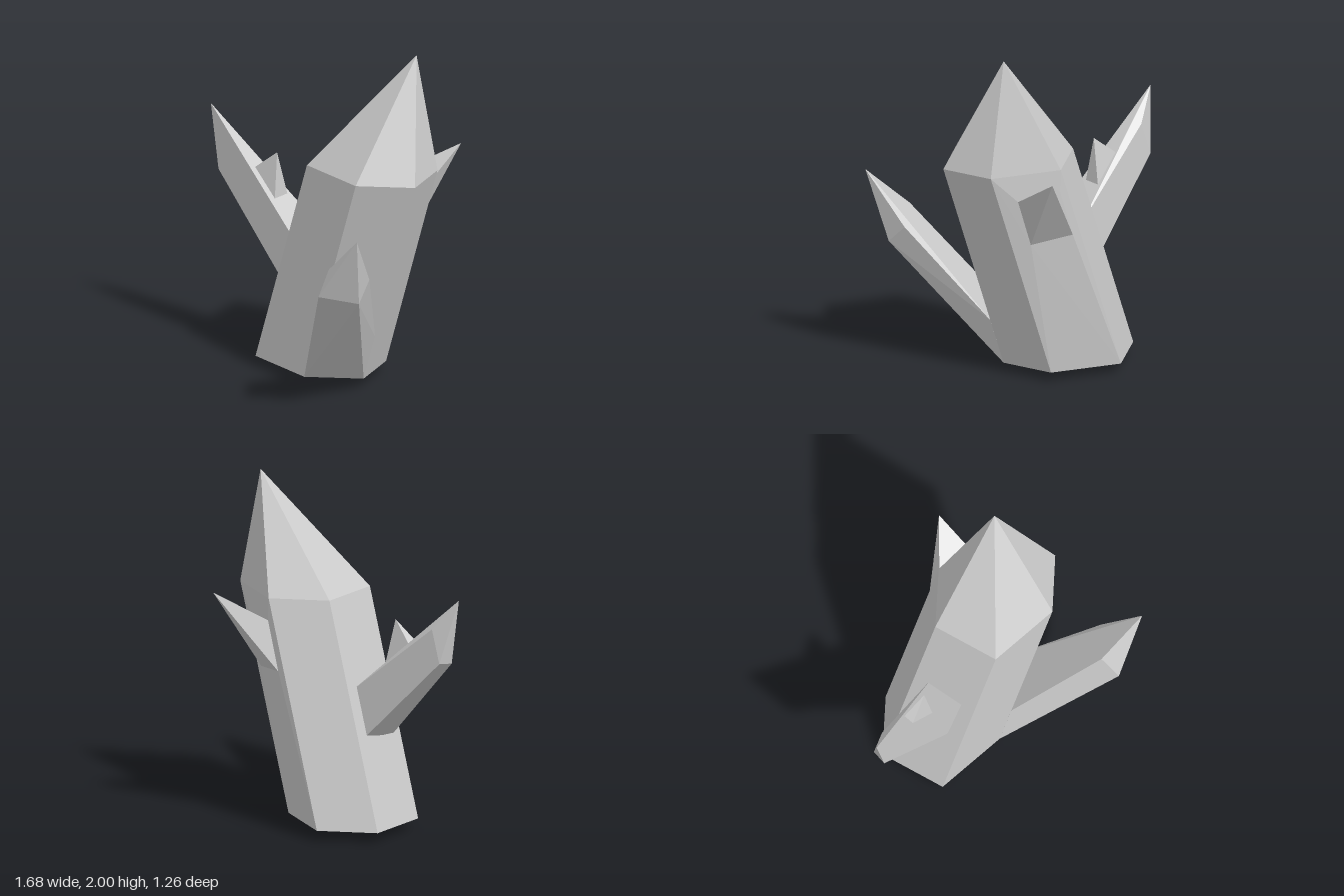
import * as THREE from 'three';
import { ConvexGeometry } from 'three/addons/geometries/ConvexGeometry.js';

const material = new THREE.MeshStandardMaterial({ color: 0xcccccc, flatShading: true });

// Every crystal is a convex faceted solid, defined by its corners.
function crystal(name, corners) {
  const points = corners.map(([x, y, z]) => new THREE.Vector3(x, y, z));
  const mesh = new THREE.Mesh(new ConvexGeometry(points), material);
  mesh.name = name;
  return mesh;
}

export function createModel() {
  const group = new THREE.Group();
  group.name = 'crystalCluster';

  // Slanted six-sided column with a pointed top and a shallow pointed base
  const outline = [[-0.49, -0.18], [-0.39, 0.2], [0.04, 0.225], [0.29, 0], [0.17, -0.285], [-0.23, -0.41]];
  const lean = 0.425;
  const lowerRing = outline.map(([x, z]) => [x, 0.06, z]);
  const upperRing = outline.map(([x, z]) => [x + lean, 1.33, z]);

  // Root of the rear spike, slightly raised from the column's back face
  const rearRoot = [[0.11, 0.92, -0.41], [0.35, 0.89, -0.335], [0.44, 1.17, -0.335], [0.2, 1.2, -0.41]];

  group.add(crystal('mainColumn', [
    [-0.12, 0, -0.02], ...lowerRing, ...upperRing, [0.47, 2, -0.24], ...rearRoot,
  ]));

  group.add(crystal('rearSpike', [...rearRoot, [0.42, 1.355, -0.63]]));

  // Four-sided shard growing from the foot of the column
  group.add(crystal('frontShard', [
    [0.04, 0.06, 0.225], [0.29, 0.06, 0], [0.384, 0.34, 0], [0.135, 0.34, 0.225],
    [0.59, 0.8, 0.628], [0.75, 0.76, 0.465], [0.72, 0.87, 0.357], [0.56, 0.93, 0.52],
    [0.84, 1.185, 0.565],
  ]));

  // Four-sided branch on the right side, its root sunk into the column
  group.add(crystal('sideShard', [
    [-0.18, 0.82, -0.105], [-0.16, 0.81, 0.12], [-0.27, 0.55, 0.12], [-0.27, 0.55, -0.105],
    [-0.71, 1.26, 0.035], [-0.7, 1.25, 0.122], [-0.78, 1.06, 0.122], [-0.775, 1.07, 0.035],
    [-0.842, 1.44, 0.123],
  ]));

  // Small spike on top of the branch
  group.add(crystal('branchSpike', [
    [-0.545, 1.115, 0.02], [-0.54, 1.115, 0.095], [-0.353, 0.965, 0.087], [-0.36, 0.965, -0.025],
    [-0.38, 1.25, 0.043],
  ]));

  return group;
}
